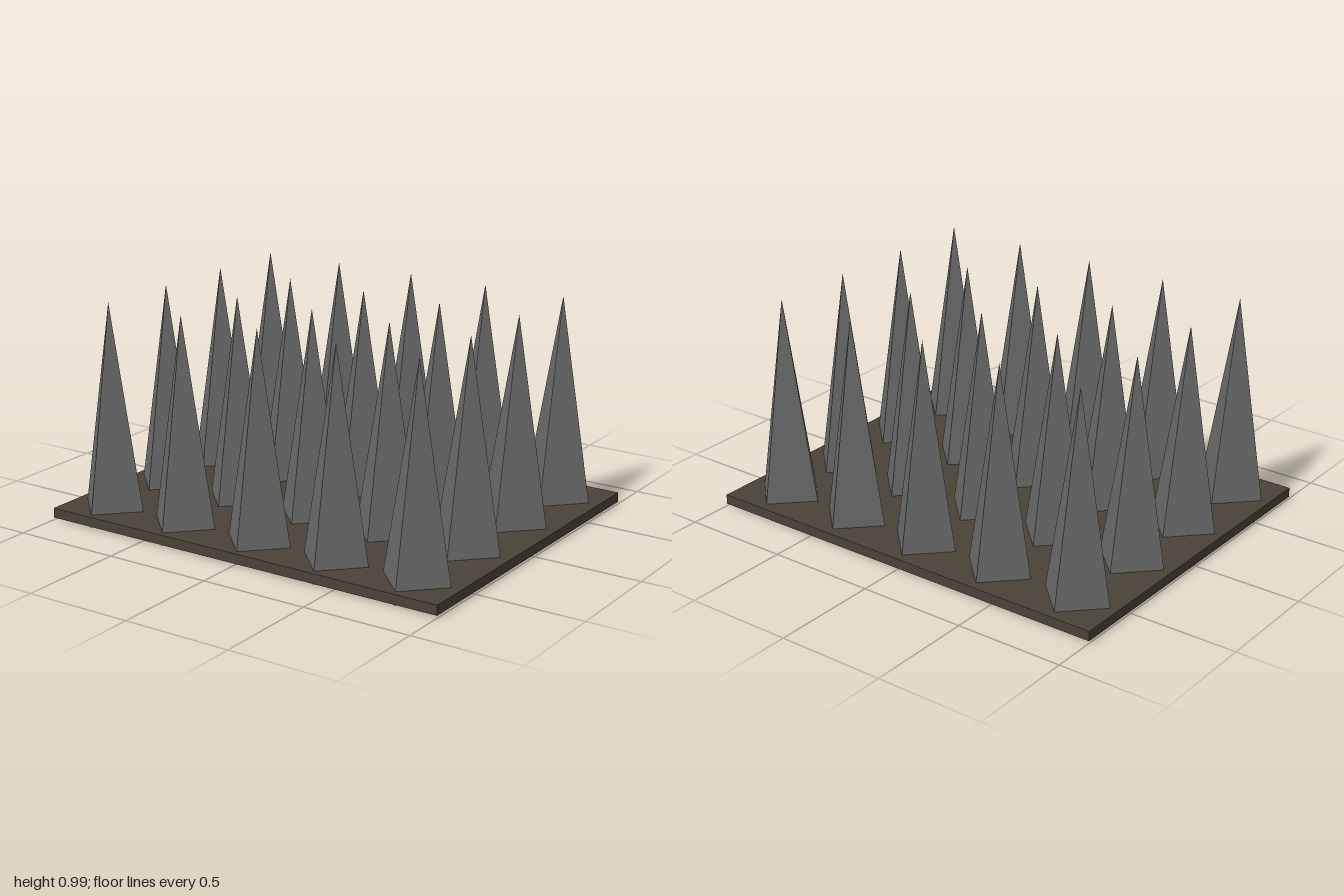
import * as THREE from 'three';

const COLS = [-0.8, -0.4, 0, 0.395, 0.79];
const ROWS = [-0.595, -0.195, 0.21, 0.61];

export function createModel() {
  const group = new THREE.Group();
  group.name = 'spikeTrap';

  const plateMat = new THREE.MeshStandardMaterial({ color: 0x4a4238, flatShading: true });
  const spikeMat = new THREE.MeshStandardMaterial({ color: 0x696969, flatShading: true });

  // Thin base plate, just above the ground
  const plate = new THREE.Mesh(new THREE.BoxGeometry(2, 0.045, 1.594), plateMat);
  plate.name = 'basePlate';
  plate.position.y = 0.0325;
  group.add(plate);

  // Four-sided spikes, corners on the axes, passing through the plate
  const height = 0.99;
  const spikeGeo = new THREE.ConeGeometry(0.172, height, 4);
  spikeGeo.translate(0, height / 2, 0);
  const spikes = new THREE.Group();
  spikes.name = 'spikes';
  for (const z of ROWS) {
    for (const x of COLS) {
      const spike = new THREE.Mesh(spikeGeo, spikeMat);
      spike.name = 'spike';
      spike.position.set(x, 0, z);
      spikes.add(spike);
    }
  }
  group.add(spikes);
  return group;
}
